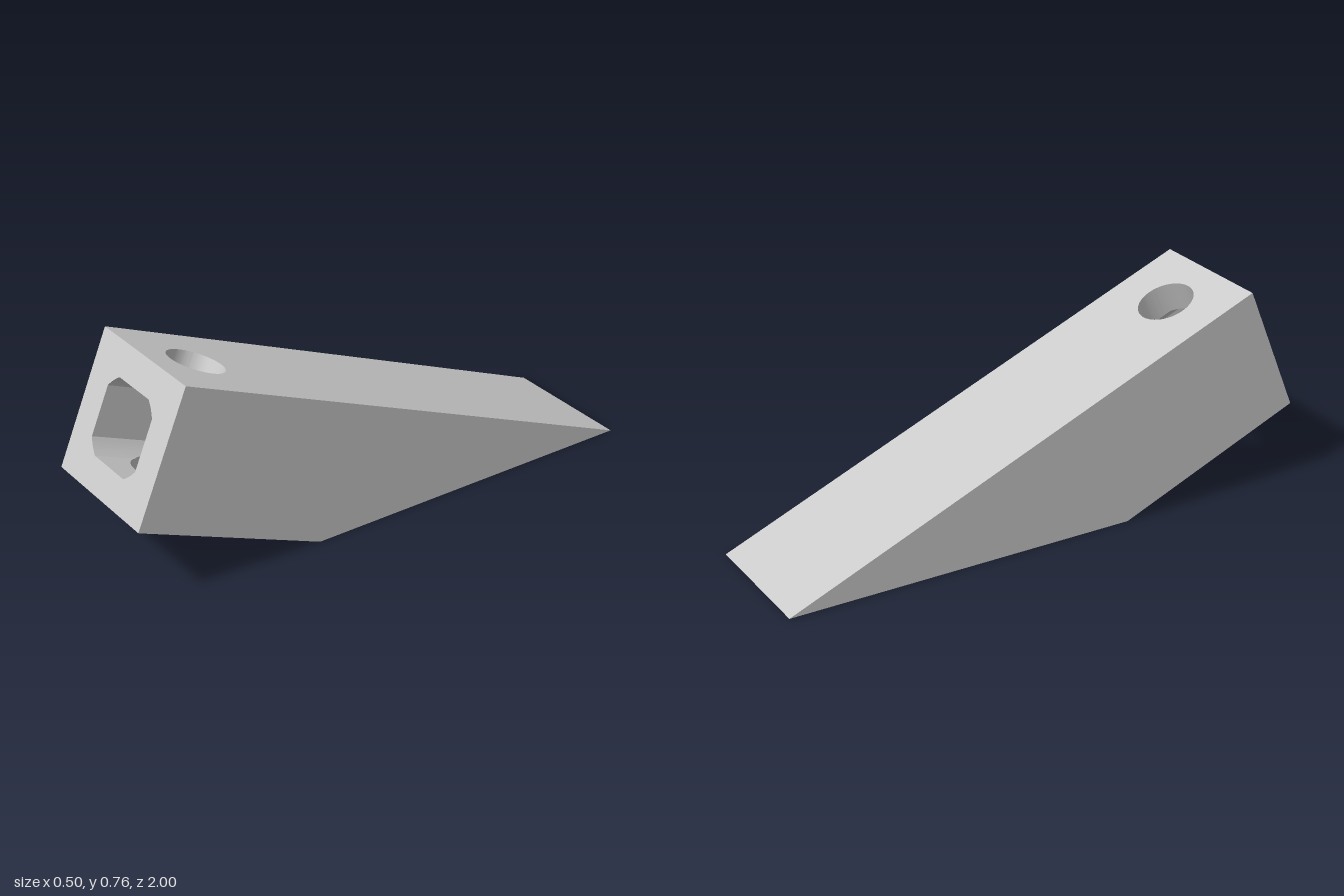
import * as THREE from 'three';
import { toCreasedNormals } from 'three/addons/utils/BufferGeometryUtils.js';

// Tilted bar: local x = width, y = thickness, z = length; its tail is cut flat by the ground
const TILT = 0.397, W = 0.251, T = 0.505, L = 0.753;
const MID = T / 2, A = 0.139, R = 0.166;      // channel: square of half-size A trimmed by radius R
const BORE = 0.1025, BORE_Z = 0.548;          // cross hole

const groundZ = (y) => -y / Math.tan(TILT);
const bulge = (x) => Math.min(A, Math.sqrt(R * R - x * x));
const ceiling = (x) => MID + bulge(x);
const floor = (x) => MID - bulge(x);
const boreHalf = (x) => Math.sqrt(Math.max(0, BORE * BORE - x * x));

// Shared columns across the width, so every surface meets its neighbours
const columns = [];
for (let i = 0; i <= 24; i++) columns.push(-BORE * Math.cos((i / 24) * Math.PI));
const arcStart = Math.acos(A / R), arcEnd = Math.asin(A / R);
for (let i = 0; i <= 6; i++) {
  const x = R * Math.cos(arcStart + (arcEnd - arcStart) * (i / 6));
  columns.push(x, -x);
}
columns.sort((a, b) => a - b);
const wideColumns = [-W, ...columns, W];
const boreColumns = columns.filter((x) => Math.abs(x) <= BORE + 1e-9);

// Quads between two rows of points
function strip(out, a, b, flip = false) {
  for (let i = 0; i + 1 < a.length; i++) {
    const tris = [[a[i], a[i + 1], b[i + 1]], [a[i], b[i + 1], b[i]]];
    for (const [p, q, r] of tris) out.push(...p, ...(flip ? r : q), ...(flip ? q : r));
  }
}

// Lengthwise wall with the cross hole left open
function sheet(out, xs, yOf, flip) {
  const row = (zOf) => xs.map((x) => [x, yOf(x), zOf(x)]);
  strip(out, row((x) => groundZ(yOf(x))), row((x) => BORE_Z - boreHalf(x)), flip);
  strip(out, row((x) => BORE_Z + boreHalf(x)), row(() => L), flip);
}

// Side wall at one x
function side(out, x, y0, y1, flip) {
  strip(out, [[x, y0, groundZ(y0)], [x, y0, L]], [[x, y1, groundZ(y1)], [x, y1, L]], flip);
}

// End face with the channel mouth left open
function cap(out, zOf, flip) {
  const row = (xs, yOf) => xs.map((x) => [x, yOf(x), zOf(yOf(x))]);
  const bottom = () => 0, top = () => T;
  const edge = columns[columns.length - 1];
  for (const xs of [[-W, -edge], [edge, W]]) strip(out, row(xs, bottom), row(xs, top), flip);
  strip(out, row(columns, bottom), row(columns, floor), flip);
  strip(out, row(columns, ceiling), row(columns, top), flip);
}

// Inside wall of the cross hole between two surfaces
function bore(out, lowOf, highOf) {
  const ring = (yOf) => [
    ...boreColumns.map((x) => [x, yOf(x), BORE_Z + boreHalf(x)]),
    ...[...boreColumns].reverse().map((x) => [x, yOf(x), BORE_Z - boreHalf(x)]),
  ];
  strip(out, ring(lowOf), ring(highOf), true);
}

export function createModel() {
  const model = new THREE.Group();
  model.name = 'drilledWedge';
  const bar = new THREE.Group();
  bar.name = 'tiltedBar';
  bar.rotation.x = -TILT;
  bar.position.z = 0.306;
  model.add(bar);

  const material = new THREE.MeshStandardMaterial({ color: 0xcccccc });
  const add = (name, build) => {
    const out = [];
    build(out);
    const geometry = new THREE.BufferGeometry();
    geometry.setAttribute('position', new THREE.Float32BufferAttribute(out, 3));
    const mesh = new THREE.Mesh(toCreasedNormals(geometry, Math.PI / 7), material);
    mesh.name = name;
    bar.add(mesh);
  };

  // Outer faces
  add('body', (out) => {
    sheet(out, wideColumns, () => T, true);
    sheet(out, wideColumns, () => 0, false);
    side(out, -W, 0, T, false);
    side(out, W, 0, T, true);
    cap(out, () => L, false);
    cap(out, groundZ, true);
  });

  // Lengthwise channel from the front face to the ground face
  add('channel', (out) => {
    const edge = columns[columns.length - 1];
    sheet(out, columns, ceiling, false);
    sheet(out, columns, floor, true);
    side(out, edge, floor(edge), ceiling(edge), false);
    side(out, -edge, floor(edge), ceiling(edge), true);
  });

  // Cross hole above and below the channel
  add('upperBore', (out) => bore(out, ceiling, () => T));
  add('lowerBore', (out) => bore(out, () => 0, floor));

  return model;
}
